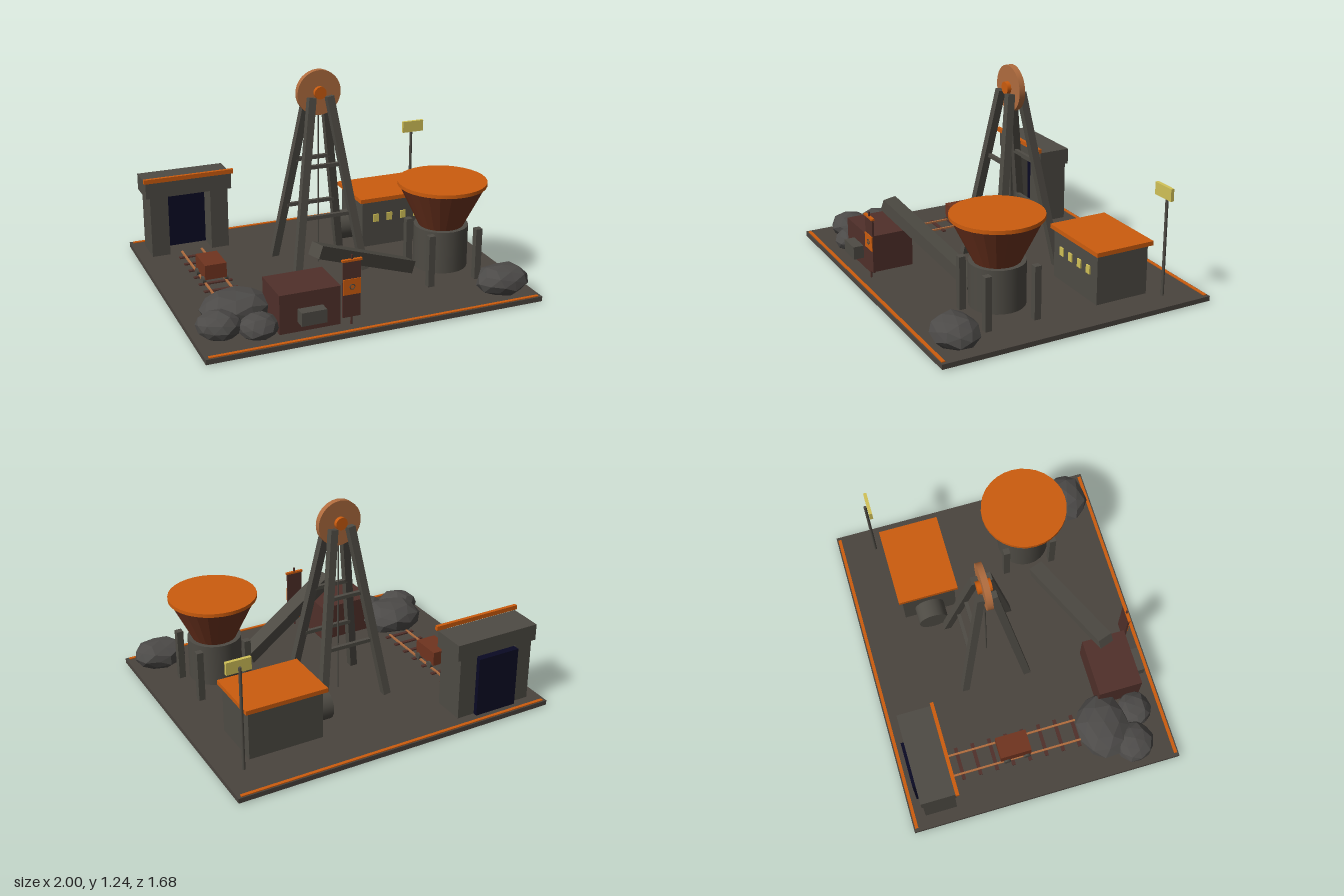
import * as THREE from 'three';

const paint = (name, color, extra = {}) => {
  const m = new THREE.MeshStandardMaterial({ color, ...extra });
  m.name = name;
  return m;
};

export function createModel() {
  const model = new THREE.Group();
  const ground = paint('ground', 0x4a443e);
  const steel = paint('steel', 0x4e4b44);
  const stone = paint('stone', 0x4c4a48, { flatShading: true });
  const orange = paint('orange', 0xcc5c0e);
  const copper = paint('copper', 0xb06c3e);
  const rust = paint('rust', 0x70341f, { flatShading: true });
  const brown = paint('dark brown', 0x50302a);
  const navy = paint('dark opening', 0x0a0a24);
  const yellow = paint('lamp yellow', 0xd2c258);

  const add = (name, geo, mat, x = 0, y = 0, z = 0, parent = model) => {
    const mesh = new THREE.Mesh(geo, mat);
    mesh.name = name;
    mesh.position.set(x, y, z);
    parent.add(mesh);
    return mesh;
  };
  // box given by its minimum and maximum on each axis
  const box = (name, mat, [x0, x1], [y0, y1], [z0, z1], parent) =>
    add(name, new THREE.BoxGeometry(x1 - x0, y1 - y0, z1 - z0), mat,
      (x0 + x1) / 2, (y0 + y1) / 2, (z0 + z1) / 2, parent);
  const cyl = (name, mat, r, h, x, y, z, axis = 'y', sides = 24, parent) => {
    const geo = new THREE.CylinderGeometry(r, r, h, sides);
    if (axis === 'x') geo.rotateZ(Math.PI / 2);
    if (axis === 'z') geo.rotateX(Math.PI / 2);
    return add(name, geo, mat, x, y, z, parent);
  };
  const group = (name) => {
    const g = new THREE.Group();
    g.name = name;
    model.add(g);
    return g;
  };
  const floor = 0.042;

  // ground slab with a painted stripe along front and back
  box('groundSlab', ground, [-1, 1], [0.013, floor], [-0.84, 0.84]);
  for (const s of [-1, 1])
    box('edgeStripe', orange, [-0.98, 0.98], [floor, 0.047], [s * 0.822 - 0.01, s * 0.822 + 0.01]);

  // mine entrance
  const portal = group('mineEntrance');
  for (const x of [-0.865, -0.485])
    box('portalPillar', steel, [x - 0.056, x + 0.056], [floor, 0.425], [-0.75, -0.555], portal);
  box('portalLintel', steel, [-0.945, -0.405], [0.425, 0.525], [-0.757, -0.55], portal);
  box('portalTrim', orange, [-0.957, -0.395], [0.528, 0.555], [-0.553, -0.532], portal);
  box('portalOpening', navy, [-0.81, -0.54], [floor, 0.41], [-0.777, -0.69], portal);

  // track with sleepers
  const track = group('track');
  for (const x of [-0.737, -0.61])
    box('rail', copper, [x - 0.006, x + 0.006], [0.046, 0.056], [-0.55, 0.29], track);
  for (let i = 0; i < 8; i++) {
    const z = -0.468 + i * 0.1055;
    box('sleeper', brown, [-0.775, -0.572], [floor, 0.05], [z - 0.011, z + 0.011], track);
  }

  // ore cart
  const cart = group('oreCart');
  box('cartBody', rust, [-0.74, -0.608], [0.075, 0.165], [-0.225, -0.032], cart);
  for (const x of [-0.742, -0.606])
    for (const z of [-0.06, -0.185])
      cyl('cartWheel', steel, 0.022, 0.02, x, 0.068, z, 'x', 12, cart);

  // headframe: four splayed legs, cross braces, wheel and rope
  const tower = group('headframe');
  const cz = -0.105;
  for (const sx of [-1, 1])
    for (const sz of [-1, 1]) {
      const foot = new THREE.Vector3(sx * 0.215, floor, cz + sz * 0.2);
      const top = new THREE.Vector3(sx * 0.055, 1.095, cz + sz * 0.037);
      const dir = top.clone().sub(foot);
      const leg = add('towerLeg', new THREE.BoxGeometry(0.045, dir.length(), 0.045), steel, 0, 0, 0, tower);
      leg.position.copy(foot).add(top).multiplyScalar(0.5);
      leg.quaternion.setFromUnitVectors(new THREE.Vector3(0, 1, 0), dir.normalize());
    }
  for (const [y, halfX, offZ] of [[0.69, 0.107, 0.088], [0.39, 0.152, 0.13]])
    for (const s of [-1, 1])
      box('towerBrace', steel, [-halfX, halfX], [y - 0.011, y + 0.011],
        [cz + s * offZ - 0.011, cz + s * offZ + 0.011], tower);
  cyl('windingWheel', copper, 0.135, 0.036, 0, 1.115, cz, 'z', 32, tower);
  cyl('wheelHub', orange, 0.037, 0.084, 0, 1.118, cz, 'z', 20, tower);
  cyl('hoistRope', steel, 0.005, 0.96, 0, 0.52, cz, 'y', 8, tower);

  // hopper: drum, square legs, flared funnel and rim
  const hopper = group('hopper');
  const hx = 0.61, hz = 0.315;
  cyl('hopperDrum', steel, 0.16, 0.255, hx, 0.2325, hz, 'y', 24, hopper);
  for (const sx of [-1, 1])
    for (const sz of [-1, 1]) {
      const x = hx + 0.013 + sx * 0.152, z = hz + sz * 0.15;
      box('hopperLeg', steel, [x - 0.02, x + 0.02], [floor, 0.357], [z - 0.02, z + 0.02], hopper);
    }
  add('hopperFunnel', new THREE.CylinderGeometry(0.255, 0.13, 0.255, 24), rust, hx, 0.483, hz, hopper);
  cyl('hopperRim', orange, 0.262, 0.022, hx, 0.618, hz, 'y', 32, hopper);

  // sloping conveyor
  const low = new THREE.Vector3(0.39, 0.137, 0.342);
  const high = new THREE.Vector3(-0.285, 0.428, 0.565);
  const conveyor = add('conveyor', new THREE.BoxGeometry(0.092, 0.075, low.distanceTo(high)), steel);
  conveyor.position.copy(low).add(high).multiplyScalar(0.5);
  conveyor.lookAt(high);

  // engine house with roof, lit windows and side drum
  const house = group('engineHouse');
  box('houseWalls', steel, [0.34, 0.797], [floor, 0.34], [-0.543, -0.21], house);
  box('houseRoof', orange, [0.32, 0.818], [0.34, 0.366], [-0.566, -0.192], house);
  for (let i = 0; i < 4; i++) {
    const x = 0.43 + i * 0.093;
    box('houseWindow', yellow, [x - 0.018, x + 0.018], [0.203, 0.253], [-0.21, -0.202], house);
  }
  cyl('winchDrum', steel, 0.092, 0.12, 0.29, 0.147, -0.38, 'x', 20, house);

  // lamp on a pole
  cyl('lampPole', steel, 0.009, 0.63, 0.862, 0.355, -0.61, 'y', 10);
  box('lampPanel', yellow, [0.79, 0.935], [0.635, 0.708], [-0.6, -0.58]);

  // crusher with outlet
  box('crusherBody', brown, [-0.555, -0.203], [floor, 0.27], [0.452, 0.722]);
  box('crusherOutlet', steel, [-0.452, -0.306], [0.1, 0.178], [0.72, 0.785]);

  // notice board on a post
  const board = group('noticeBoard');
  cyl('boardPost', brown, 0.006, 0.41, -0.148, 0.247, 0.742, 'y', 8, board);
  box('boardPanel', brown, [-0.2, -0.097], [0.088, 0.418], [0.736, 0.748], board);
  box('boardPlate', orange, [-0.2, -0.097], [0.222, 0.313], [0.748, 0.753], board);
  box('boardCap', orange, [-0.207, -0.09], [0.414, 0.426], [0.734, 0.752], board);
  add('boardDial', new THREE.TorusGeometry(0.014, 0.003, 6, 16), steel, -0.148, 0.268, 0.754, board);

  // boulders: squashed low-poly balls
  const boulders = [
    [-0.705, 0.105, 0.435, 0.195, 0.105, 0.165, 0.3],
    [-0.85, 0.095, 0.59, 0.13, 0.08, 0.12, 1.1],
    [-0.65, 0.083, 0.66, 0.115, 0.07, 0.1, 2.0],
    [0.825, 0.115, 0.68, 0.158, 0.09, 0.128, 0.7],
  ];
  for (const [x, y, z, rx, ry, rz, turn] of boulders) {
    const geo = new THREE.IcosahedronGeometry(1, 1);
    const p = geo.attributes.position;
    for (let i = 0; i < p.count; i++) {
      const a = p.getX(i), b = p.getY(i), c = p.getZ(i);
      const k = 1 + 0.06 * Math.sin(5 * a + 3 * b + 4 * c + turn * 4);
      p.setXYZ(i, a * k, b * k, c * k);
    }
    geo.rotateY(turn).scale(rx, ry, rz).computeVertexNormals();
    add('boulder', geo, stone, x, y, z);
  }
  return model;
}
